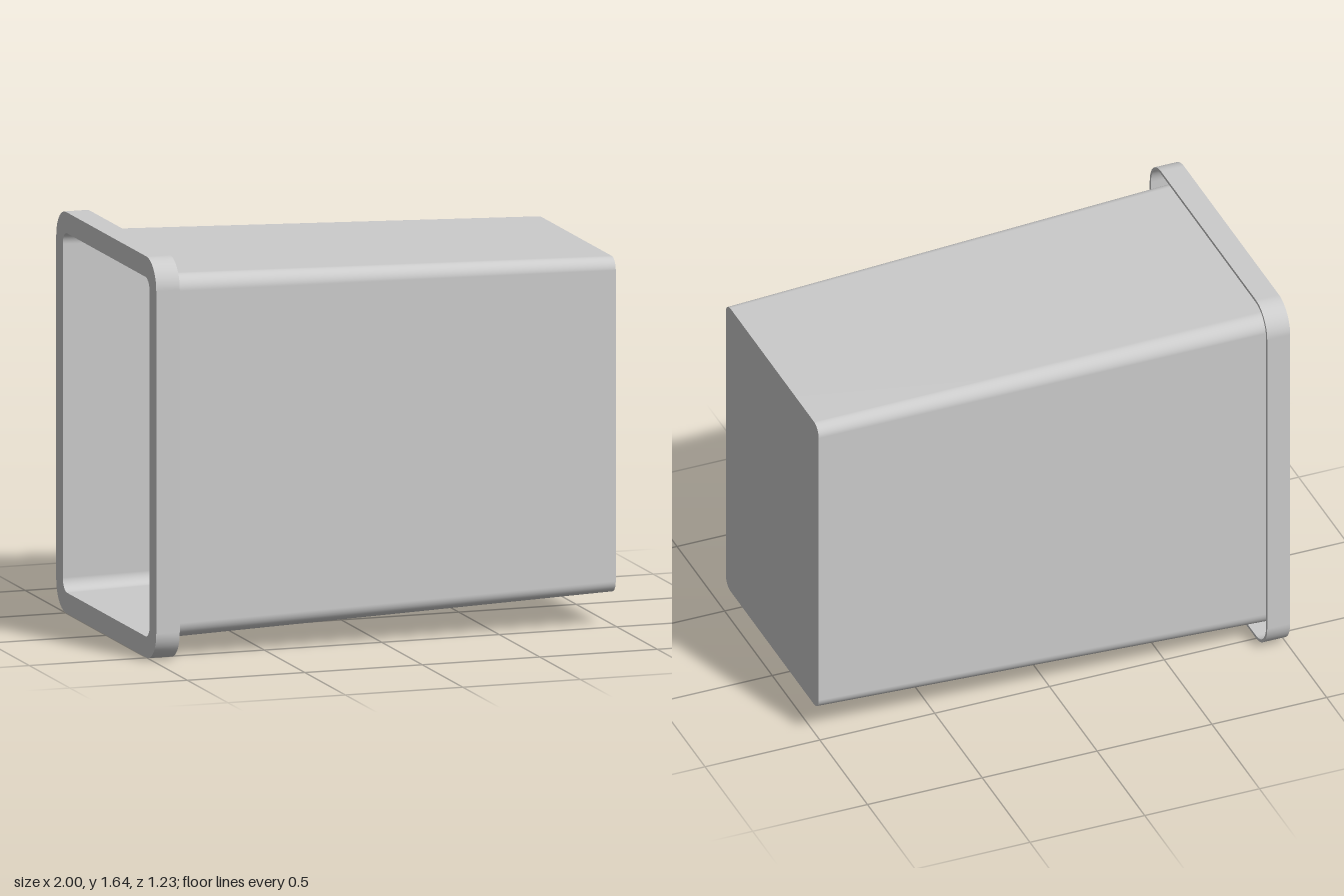
import * as THREE from 'three';

const CENTRE_Y = 0.822;
const CORNER_STEPS = 10;
const WALL = 0.0125;

// Rounded rectangle ring at a given x: half height, half depth, corner radius
function ring([x, halfY, halfZ, r]) {
  const points = [];
  for (let corner = 0; corner < 4; corner++) {
    const sz = corner === 0 || corner === 3 ? 1 : -1;
    const sy = corner < 2 ? 1 : -1;
    for (let i = 0; i <= CORNER_STEPS; i++) {
      const a = (corner + i / CORNER_STEPS) * Math.PI / 2;
      points.push([
        x,
        CENTRE_Y + sy * (halfY - r) + r * Math.sin(a),
        sz * (halfZ - r) + r * Math.cos(a),
      ]);
    }
  }
  return points;
}

// Joins consecutive rings; each strip has its own vertices so its edges stay sharp
function loft(sections) {
  const positions = [], indices = [];
  const rings = sections.map(ring);
  const n = rings[0].length;
  for (let s = 0; s < rings.length - 1; s++) {
    const base = positions.length / 3;
    positions.push(...rings[s].flat(), ...rings[s + 1].flat());
    for (let i = 0; i < n; i++) {
      const j = (i + 1) % n;
      const a = base + i, a2 = base + j, b = a + n, b2 = a2 + n;
      indices.push(a, b, a2, b, b2, a2);
    }
  }
  const geometry = new THREE.BufferGeometry();
  geometry.setAttribute('position', new THREE.Float32BufferAttribute(positions, 3));
  geometry.setIndex(indices);
  geometry.computeVertexNormals();
  return geometry;
}

// Outer size of the tapered wall at x, optionally inset
function wallAt(x, inset = 0) {
  const t = (1 - x) / 2;
  return [x, 0.687 + 0.062 * t - inset, 0.488 + 0.06 * t - inset, 0.05 + 0.015 * t - inset];
}

export function createModel() {
  const group = new THREE.Group();
  const material = new THREE.MeshStandardMaterial({ color: 0xcccccc, side: THREE.DoubleSide });
  const add = (name, sections) => {
    const mesh = new THREE.Mesh(loft(sections), material);
    mesh.name = name;
    group.add(mesh);
  };
  const floorX = 1 - WALL;
  const flangeX = -1 + WALL;

  // Hollow tapered container: inner floor, inner walls
  add('innerShell', [[floorX, 0, 0, 0], wallAt(floorX, WALL), wallAt(-1, WALL)]);

  // Outer walls and closed end
  add('outerShell', [wallAt(flangeX), wallAt(1), [1, 0, 0, 0]]);

  // Flat flange around the opening with a skirt turned back along the walls
  add('rim', [
    wallAt(-1, WALL),
    [-1, 0.822, 0.617, 0.12],
    [-0.9, 0.822, 0.617, 0.12],
    [-0.9, 0.822 - WALL, 0.617 - WALL, 0.12 - WALL],
    [flangeX, 0.822 - WALL, 0.617 - WALL, 0.12 - WALL],
    wallAt(flangeX),
  ]);

  return group;
}
